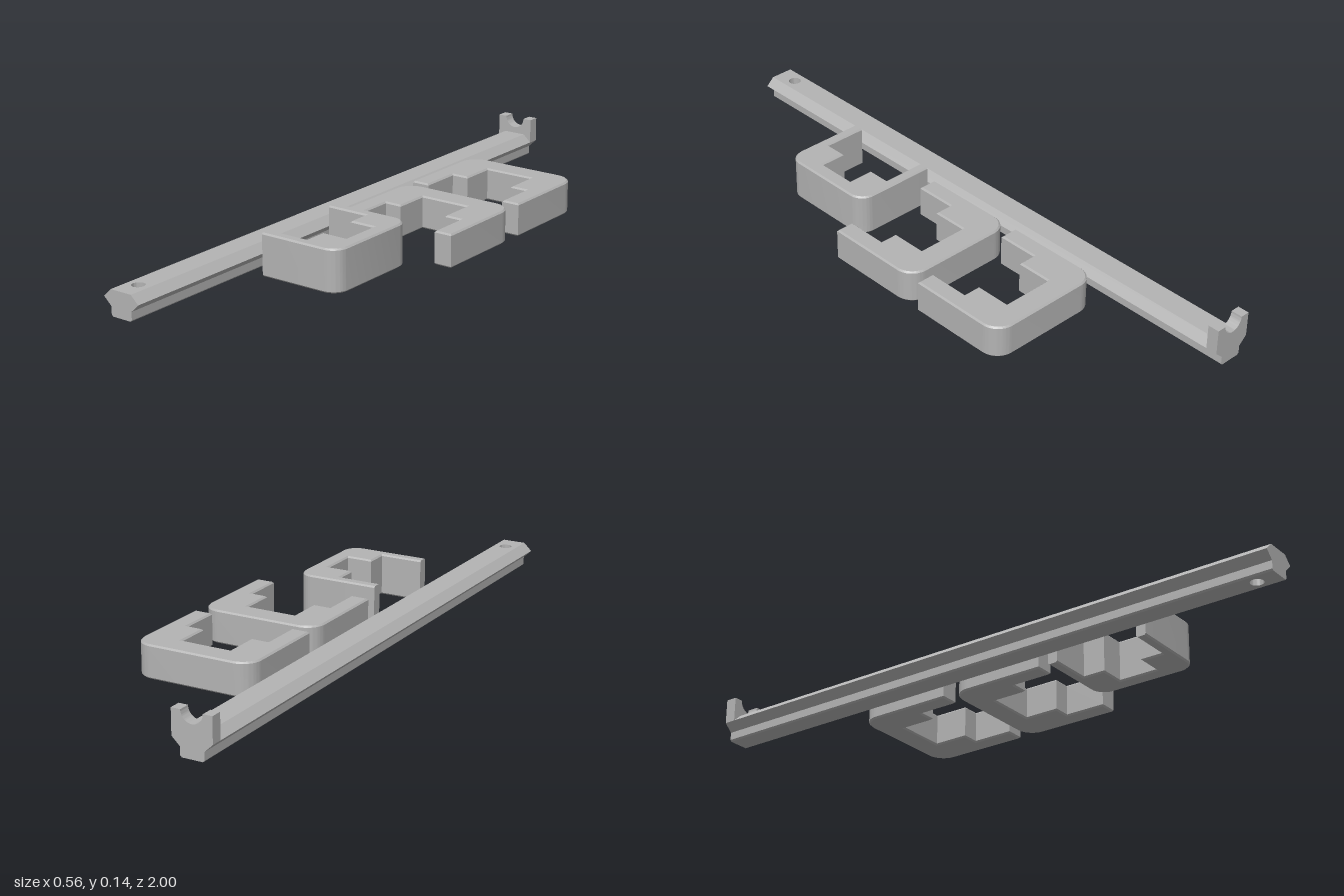
import * as THREE from 'three';
import { toCreasedNormals } from 'three/addons/utils/BufferGeometryUtils.js';

const BEVEL = 0.005;
const RAIL_X = -0.2175;

const shapeOf = (points) => new THREE.Shape(points.map(([x, y]) => new THREE.Vector2(x, y)));

function moveVertices(geometry, rule) {
  const p = geometry.attributes.position;
  const v = new THREE.Vector3();
  for (let i = 0; i < p.count; i++) {
    v.fromBufferAttribute(p, i);
    rule(v);
    p.setXYZ(i, v.x, v.y, v.z);
  }
  return geometry;
}

// Stepped U-shaped clip, open end at z = 0, closed end at z = -depth
function clipGeometry({ half, depth, height, radius, mouth, step, slot, slotDepth, flatEnds }) {
  const s = new THREE.Shape();
  s.moveTo(half, 0);
  s.lineTo(half, depth - radius);
  s.absarc(half - radius, depth - radius, radius, 0, Math.PI / 2, false);
  s.lineTo(radius - half, depth);
  s.absarc(radius - half, depth - radius, radius, Math.PI / 2, Math.PI, false);
  [[-half, 0], [-mouth, 0], [-mouth, step], [-slot, step], [-slot, slotDepth],
    [slot, slotDepth], [slot, step], [mouth, step], [mouth, 0]].forEach(([x, y]) => s.lineTo(x, y));
  const g = new THREE.ExtrudeGeometry(s, {
    depth: height - 2 * BEVEL, bevelEnabled: true, bevelSegments: 1,
    bevelSize: BEVEL, bevelThickness: BEVEL, bevelOffset: -BEVEL, curveSegments: 12,
  });
  g.rotateX(-Math.PI / 2).translate(0, BEVEL, 0);
  if (flatEnds) moveVertices(g, (v) => { if (v.z > -BEVEL * 1.2) v.z = 0; });
  return toCreasedNormals(g, 0.4);
}

export function createModel() {
  const model = new THREE.Group();
  const grey = new THREE.MeshStandardMaterial({ color: 0xb3b3b3 });
  grey.name = 'grey plastic';

  const add = (name, geometry, parent = model) => {
    const mesh = new THREE.Mesh(geometry, grey);
    mesh.name = name;
    parent.add(mesh);
    return mesh;
  };

  const rail = new THREE.Group();
  rail.name = 'rail';
  rail.position.x = RAIL_X;
  model.add(rail);

  // Rail core with a pin hole near the front, lower edges chamfered
  const w = 0.038;
  const core = shapeOf([[-w, -1], [w, -1], [w, 1], [-w, 1]]);
  core.holes.push(new THREE.Path().absarc(0, -0.93, 0.02, 0, Math.PI * 2, true));
  const coreGeo = new THREE.ExtrudeGeometry(core, { depth: 0.08, steps: 2, bevelEnabled: false, curveSegments: 16 });
  coreGeo.rotateX(-Math.PI / 2);
  moveVertices(coreGeo, (v) => {
    if (v.y < 0.001 && Math.abs(v.x) > 0.03) v.x -= Math.sign(v.x) * BEVEL;
    else if (Math.abs(v.y - 0.04) < 0.001) v.y = BEVEL;
  });
  add('railCore', toCreasedNormals(coreGeo, 0.5), rail);

  // Pointed flanges along both sides
  for (const side of [1, -1]) {
    const flange = shapeOf([[w, 0.03], [0.0645, 0.055], [w, 0.08]].map(([x, y]) => [x * side, y]));
    const g = new THREE.ExtrudeGeometry(flange, { depth: 2, bevelEnabled: false });
    add(side > 0 ? 'leftFlange' : 'rightFlange', g.translate(0, 0, -1), rail);
  }

  // End post with a half-round cradle
  const post = new THREE.Shape();
  post.moveTo(-w, 0.03);
  post.lineTo(w, 0.03);
  post.lineTo(0.0645, 0.055);
  post.lineTo(0.0645, 0.135);
  post.lineTo(0.035, 0.135);
  post.absarc(0, 0.135, 0.035, 0, Math.PI, true);
  post.lineTo(-0.0645, 0.135);
  post.lineTo(-0.0645, 0.055);
  const postGeo = new THREE.ExtrudeGeometry(post, { depth: 0.037, bevelEnabled: false, curveSegments: 24 });
  add('cradlePost', toCreasedNormals(postGeo.translate(0, 0, -1), 0.4), rail);

  // Two matching clips open towards the front
  const wide = clipGeometry({
    half: 0.2, depth: 0.33, height: 0.106, radius: 0.06,
    mouth: 0.14, step: 0.135, slot: 0.083, slotDepth: 0.25,
  });
  add('rearClip', wide).position.set(0.077, 0, -0.23);
  add('middleClip', wide).position.set(0.077, 0, 0.13);

  // Taller clip turned to open towards the rail
  const tall = clipGeometry({
    half: 0.1725, depth: 0.275, height: 0.135, radius: 0.05,
    mouth: 0.139, step: 0.14, slot: 0.065, slotDepth: 0.225, flatEnds: true,
  });
  const front = add('frontClip', tall);
  front.position.set(-0.125, 0, 0.3375);
  front.rotation.y = -Math.PI / 2;

  return model;
}
